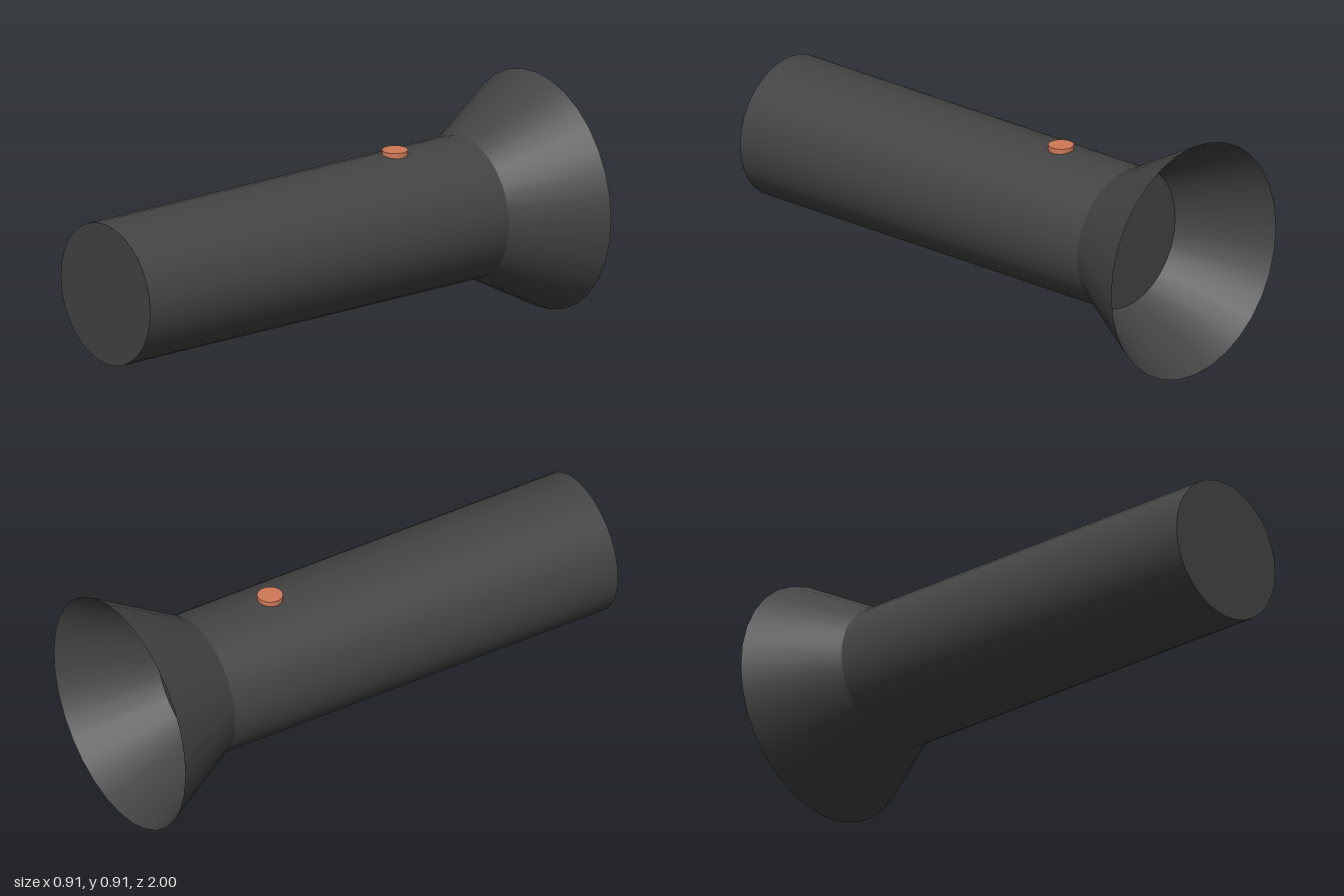
import * as THREE from 'three';

const AXIS_Y = 0.456; // height of the long axis

export function createModel() {
  const group = new THREE.Group();
  const dark = new THREE.MeshStandardMaterial({ color: 0x444444 });
  const darkOpen = new THREE.MeshStandardMaterial({ color: 0x444444, side: THREE.DoubleSide });
  const copper = new THREE.MeshStandardMaterial({ color: 0xd07a58 });

  const add = (name, geometry, material, x, y, z) => {
    const mesh = new THREE.Mesh(geometry, material);
    mesh.name = name;
    mesh.position.set(x, y, z);
    group.add(mesh);
  };

  // cylinder lying along z, from back (z0, r0) to front (z1, r1)
  const addAlongZ = (name, z0, r0, z1, r1, open, material) => {
    const geometry = new THREE.CylinderGeometry(r1, r0, z1 - z0, 32, 1, open);
    geometry.rotateX(Math.PI / 2);
    add(name, geometry, material, 0, AXIS_Y, (z0 + z1) / 2);
  };

  // closed handle tube
  addAlongZ('handle', -0.667, 0.27, 1, 0.27, false, dark);
  // thin flared head, open at the back
  addAlongZ('flaredHead', -1, 0.454, -0.667, 0.27, true, darkOpen);
  // round switch, partly sunk into the handle
  add('switchButton', new THREE.CylinderGeometry(0.048, 0.048, 0.04, 32), copper, 0, 0.722, -0.345);

  return group;
}
